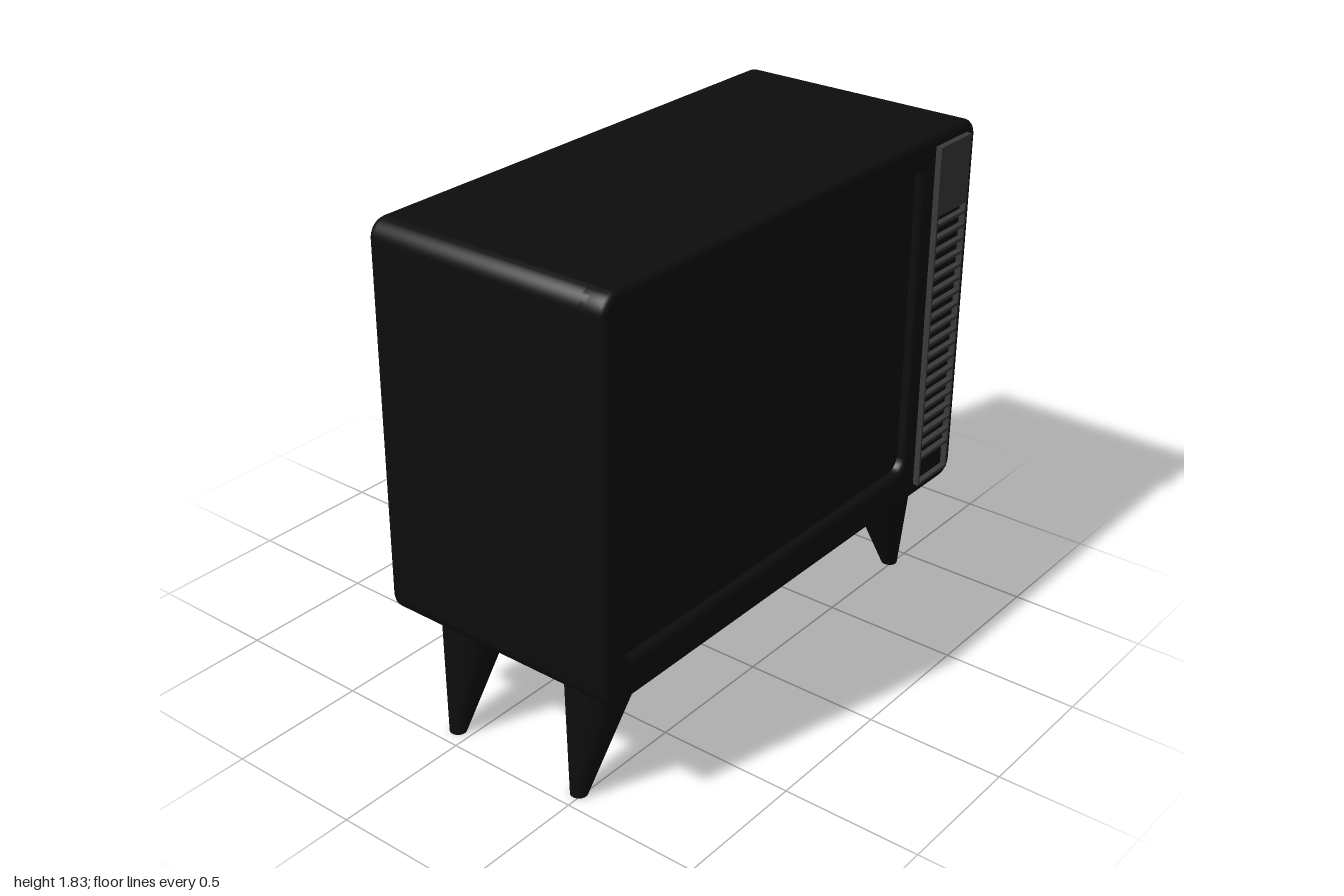
import * as THREE from 'three';
import { toCreasedNormals } from 'three/addons/utils/BufferGeometryUtils.js';

const black = new THREE.MeshStandardMaterial({ color: 0x0d0d0d });
const grey = new THREE.MeshStandardMaterial({ color: 0x3a3a3a });

// Rounded rectangle; its horizontal axis becomes -z once turned to face +x
function roundedRect(Type, x0, x1, y0, y1, r) {
  const s = new Type();
  s.moveTo(x0 + r, y0);
  s.lineTo(x1 - r, y0);
  s.absarc(x1 - r, y0 + r, r, -Math.PI / 2, 0);
  s.lineTo(x1, y1 - r);
  s.absarc(x1 - r, y1 - r, r, 0, Math.PI / 2);
  s.lineTo(x0 + r, y1);
  s.absarc(x0 + r, y1 - r, r, Math.PI / 2, Math.PI);
  s.lineTo(x0, y0 + r);
  s.absarc(x0 + r, y0 + r, r, Math.PI, Math.PI * 1.5);
  return s;
}

// Bevelled slab between two x positions
function slab(shape, x0, x1, bevel) {
  const g = new THREE.ExtrudeGeometry(shape, {
    depth: x1 - x0 - 2 * bevel, bevelEnabled: true, bevelThickness: bevel,
    bevelSize: bevel, bevelOffset: -bevel, bevelSegments: 4, curveSegments: 6,
  });
  g.rotateY(Math.PI / 2);
  g.translate(x0 + bevel, 0, 0);
  return toCreasedNormals(g, 0.6);
}

// Tapering rear housing lofted through rounded rectangles
function housingGeometry() {
  // x, half width, bottom, top, corner radius
  const sections = [
    [-0.25, 0.80, 0.54, 1.71, 0.05], [-0.35, 0.80, 0.54, 1.71, 0.05],
    [-0.585, 0.50, 0.67, 1.585, 0.04], [-0.688, 0.245, 0.78, 1.475, 0.03],
  ];
  const pos = [], index = [];
  let n = 0;
  for (const [x, w, y0, y1, r] of sections) {
    const pts = roundedRect(THREE.Shape, -w, w, y0, y1, r).getPoints(5);
    n = pts.length;
    for (const p of pts) pos.push(x, p.y, -p.x);
  }
  const last = (sections.length - 1) * n;
  for (let k = 0; k < sections.length - 1; k++) {
    for (let i = 0; i < n; i++) {
      const a = k * n + i, b = k * n + (i + 1) % n;
      index.push(a, b, a + n, b, b + n, a + n);
    }
  }
  // slightly domed end cap
  pos.push(-0.695, 1.1275, 0);
  for (let i = 0; i < n; i++) index.push(last + i, last + (i + 1) % n, last + n);
  // make every face point outward
  const c = new THREE.Vector3(-0.25, 1.1275, 0);
  const v = (i) => new THREE.Vector3(pos[3 * i], pos[3 * i + 1], pos[3 * i + 2]);
  for (let i = 0; i < index.length; i += 3) {
    const [p, q, s] = [v(index[i]), v(index[i + 1]), v(index[i + 2])];
    const normal = q.clone().sub(p).cross(s.clone().sub(p));
    if (normal.dot(p.add(q).add(s).divideScalar(3).sub(c)) < 0) {
      [index[i + 1], index[i + 2]] = [index[i + 2], index[i + 1]];
    }
  }
  const g = new THREE.BufferGeometry();
  g.setAttribute('position', new THREE.Float32BufferAttribute(pos, 3));
  g.setIndex(index);
  return toCreasedNormals(g, 0.35);
}

// Gently bulging picture tube face
function screenGeometry(w, h, bulge) {
  const g = new THREE.PlaneGeometry(w, h, 20, 16);
  const p = g.attributes.position;
  for (let i = 0; i < p.count; i++) {
    const u = p.getX(i) / w * 2, v = p.getY(i) / h * 2;
    p.setZ(i, bulge * (1 - u * u) * (1 - v * v));
  }
  g.computeVertexNormals();
  return g.rotateY(Math.PI / 2);
}

// Splayed conical leg: a cone sheared along z
function legGeometry(splay) {
  const height = 0.44;
  const g = new THREE.CylinderGeometry(0.13, 0.03, height, 32);
  g.translate(0, height / 2, 0);
  const p = g.attributes.position;
  for (let i = 0; i < p.count; i++) p.setZ(i, p.getZ(i) + splay * (1 - p.getY(i) / height));
  g.computeVertexNormals();
  return toCreasedNormals(g, 0.6);
}

export function createModel() {
  const model = new THREE.Group();
  model.name = 'television';
  const add = (parent, name, geometry, material, x = 0, y = 0, z = 0) => {
    const mesh = new THREE.Mesh(geometry, material);
    mesh.name = name;
    mesh.position.set(x, y, z);
    parent.add(mesh);
    return mesh;
  };

  // Cabinet and the bezel around the screen
  const outline = () => roundedRect(THREE.Shape, -1, 1, 0.43, 1.825, 0.065);
  add(model, 'cabinet', slab(outline(), -0.27, 0.63, 0.03), black);
  const front = outline();
  front.holes.push(roundedRect(THREE.Path, -0.91, 0.67, 0.57, 1.74, 0.05));
  add(model, 'bezel', slab(front, 0.55, 0.67, 0.025), black);
  add(model, 'screen', screenGeometry(1.62, 1.21, 0.025), black, 0.635, 1.155, 0.12);
  add(model, 'rearHousing', housingGeometry(), black);

  // Control strip: plain panel above a slatted speaker grille
  const strip = new THREE.Group();
  strip.name = 'controlStrip';
  model.add(strip);
  const zMid = -0.835, width = 0.195, depth = 0.03, x = 0.677;
  const bar = (name, y, h, z = zMid, w = width) =>
    add(strip, name, new THREE.BoxGeometry(depth, h, w), grey, x, y, z);
  bar('controlPanel', 1.66, 0.25);
  bar('grilleBottom', 0.49, 0.01);
  for (const s of [-1, 1]) bar('grilleSide', 1.01, 1.05, zMid + s * (width / 2 - 0.004), 0.008);
  for (let i = 0; i < 19; i++) bar('grilleSlat', 1.5 - i * 0.0503, 0.012);

  // Four legs splayed outward
  const legs = new THREE.Group();
  legs.name = 'legs';
  model.add(legs);
  for (const lx of [-0.055, 0.485]) {
    for (const s of [-1, 1]) add(legs, 'leg', legGeometry(s * 0.13), black, lx, 0, 0.0075 + s * 0.7925);
  }
  return model;
}
